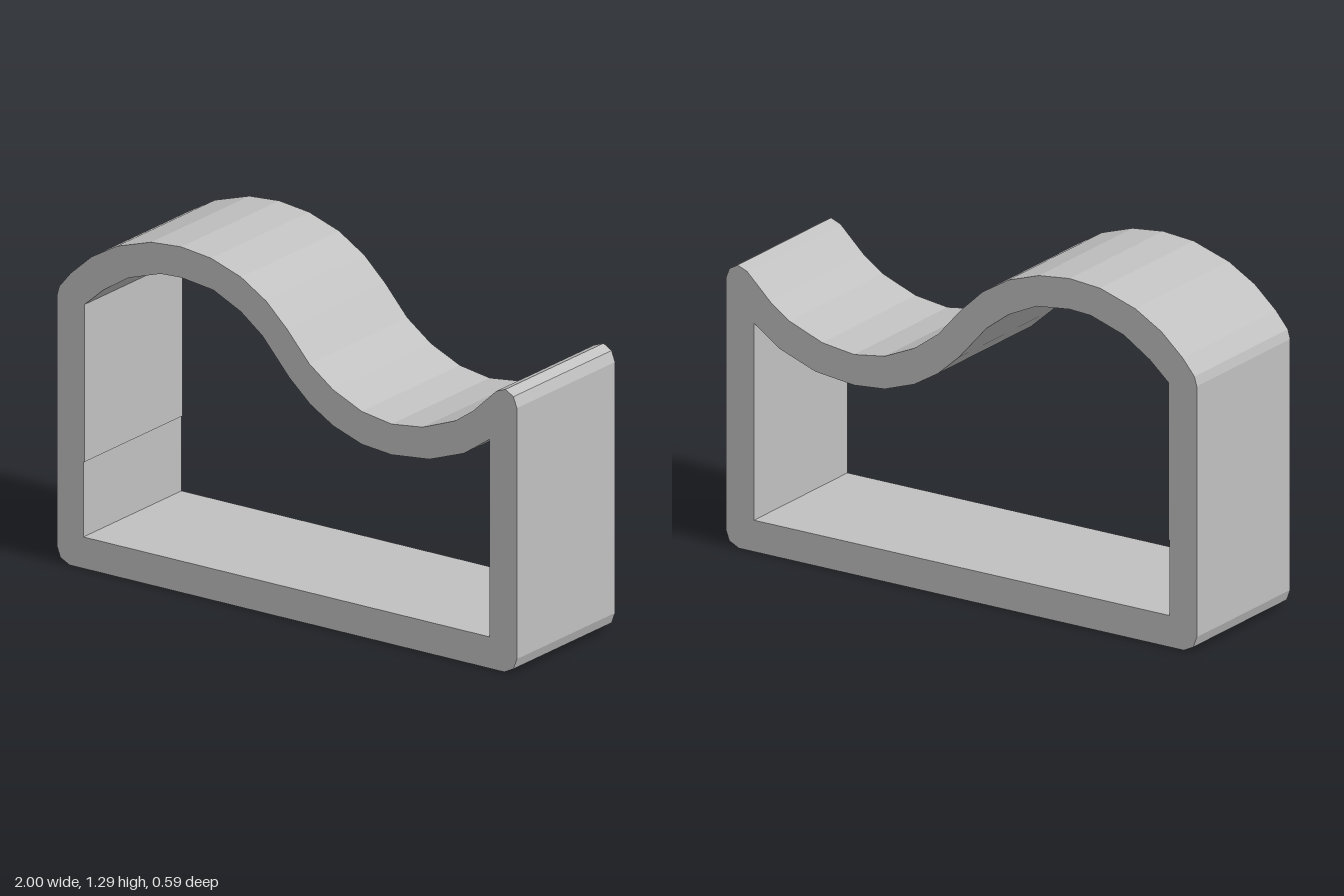
import * as THREE from 'three';

export function createModel() {
  const group = new THREE.Group();
  group.name = 'waveFrame';
  const grey = new THREE.MeshStandardMaterial({ color: 0xc0c0c0 });
  grey.name = 'light grey';
  const points = (list) => list.map(([x, y]) => new THREE.Vector2(x, y));

  // Outer profile: chamfered base, right lip, then the wave back to the left
  const outer = points([
    [-0.945, 0], [0.945, 0], [0.985, 0.02], [1, 0.06],
    [1, 1], [0.985, 1.04], [0.95, 1.06], [0.91, 1.045],
    [0.81, 0.95], [0.73, 0.895], [0.59, 0.842], [0.455, 0.825],
    [0.325, 0.845], [0.2, 0.9], [0.097, 0.975], [0, 1.085],
    [-0.09, 1.17], [-0.2, 1.237], [-0.33, 1.28], [-0.46, 1.295],
    [-0.59, 1.285], [-0.74, 1.238], [-0.85, 1.175], [-0.94, 1.095],
    [-0.99, 1.035], [-1, 1], [-1, 0.06], [-0.985, 0.02],
  ]);

  // Opening: straight walls under an offset copy of the wave
  const inner = points([
    [-0.885, 0.118], [-0.885, 0.4], [-0.88, 0.4], [-0.88, 0.99],
    [-0.8, 1.06], [-0.69, 1.13], [-0.55, 1.175], [-0.46, 1.18],
    [-0.32, 1.163], [-0.2, 1.107], [-0.107, 1.037], [0.01, 0.905],
    [0.1, 0.825], [0.2, 0.765], [0.325, 0.722], [0.455, 0.71],
    [0.62, 0.728], [0.77, 0.782], [0.88, 0.857], [0.88, 0.118],
  ]);

  // Closed frame, extruded front to back
  const depth = 0.59;
  const shape = new THREE.Shape(outer);
  shape.holes.push(new THREE.Path(inner));
  const geometry = new THREE.ExtrudeGeometry(shape, { depth, bevelEnabled: false });
  geometry.translate(0, 0, -depth / 2);
  const frame = new THREE.Mesh(geometry, grey);
  frame.name = 'frame';
  group.add(frame);
  return group;
}
